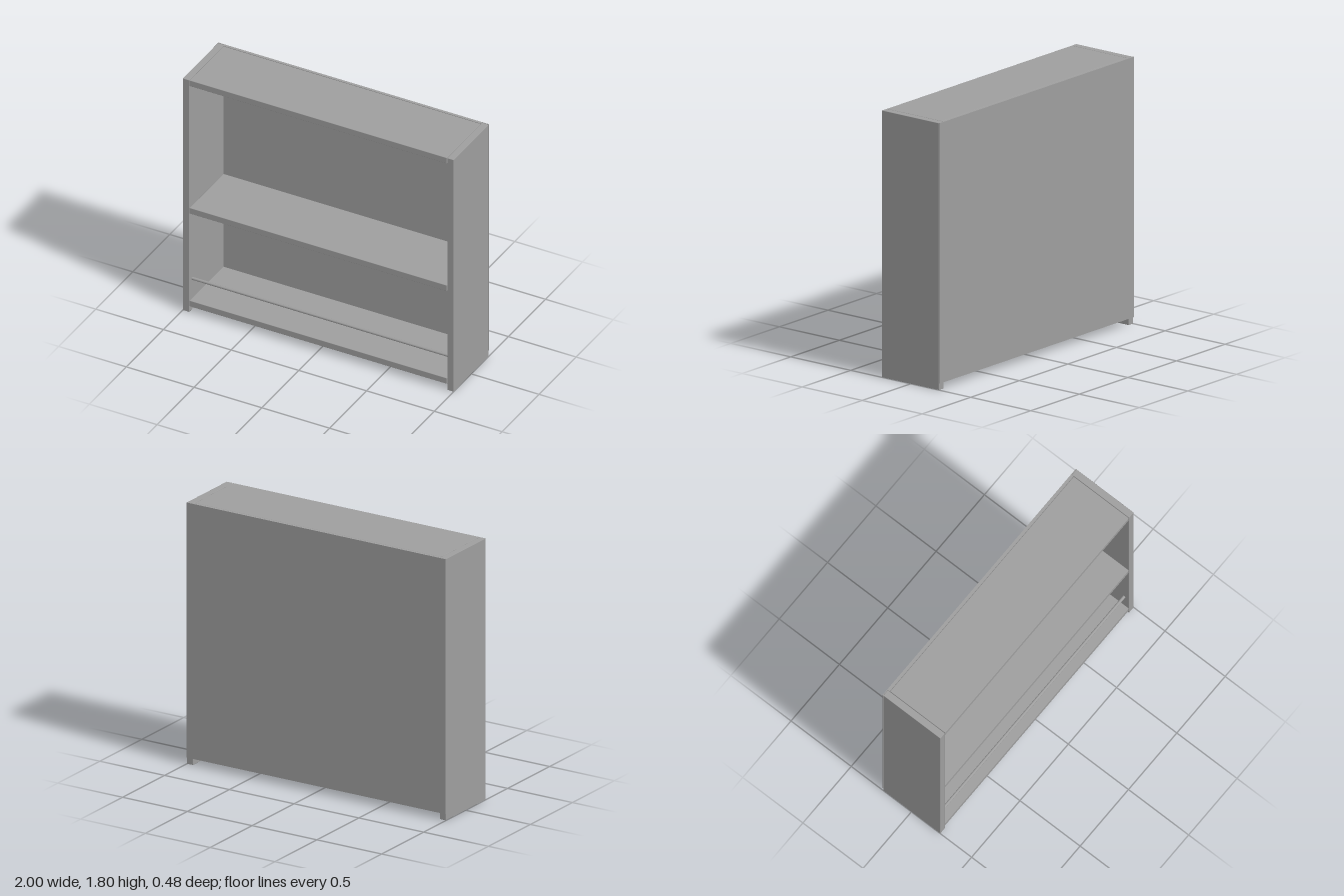
import * as THREE from 'three';
import { RoundedBoxGeometry } from 'three/addons/geometries/RoundedBoxGeometry.js';

export function createModel() {
  const group = new THREE.Group();
  const grey = new THREE.MeshStandardMaterial({ color: 0x9e9e9e });
  grey.name = 'plain grey';

  const add = (name, geometry, x, y, z) => {
    const mesh = new THREE.Mesh(geometry, grey);
    mesh.name = name;
    mesh.position.set(x, y, z);
    group.add(mesh);
  };
  // Board with slightly eased edges, placed by its lower and upper limits
  const board = (name, [x0, x1], [y0, y1], [z0, z1]) => add(name,
    new RoundedBoxGeometry(x1 - x0, y1 - y0, z1 - z0, 1, 0.003),
    (x0 + x1) / 2, (y0 + y1) / 2, (z0 + z1) / 2);

  // Side panels reach the floor, just short of the back sheet
  board('leftSide', [0.952, 1], [0, 1.8], [-0.235, 0.24]);
  board('rightSide', [-1, -0.952], [0, 1.8], [-0.235, 0.24]);

  // Top, middle and bottom boards
  const levels = { bottomBoard: 0.045, middleShelf: 0.765, topBoard: 1.755 };
  for (const [name, y] of Object.entries(levels)) {
    board(name, [-0.95, 0.95], [y, y + 0.045], [-0.218, 0.24]);
  }

  // Back panel: full-width sheet with a thicker part between the sides
  add('backSheet', new THREE.BoxGeometry(2, 1.755, 0.005), 0, 0.9225, -0.2375);
  add('backPanel', new THREE.BoxGeometry(1.904, 1.755, 0.015), 0, 0.9225, -0.2275);

  // Thin retaining rail above the bottom board
  const rail = new THREE.CylinderGeometry(0.01, 0.01, 1.904, 16).rotateZ(Math.PI / 2);
  add('frontRail', rail, 0, 0.24, 0.2);

  return group;
}
